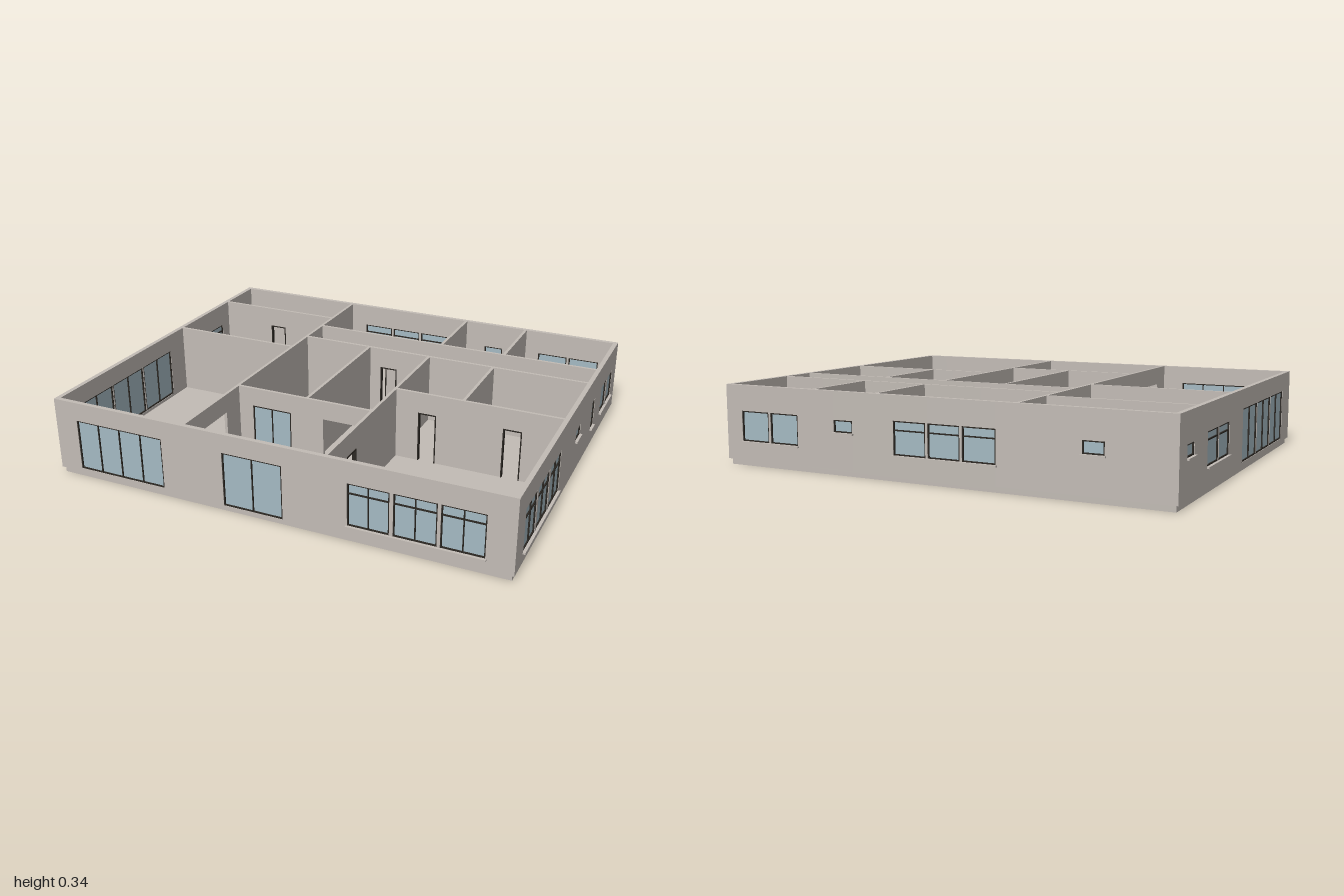
import * as THREE from 'three';

const BASE = 0.025, TOP = 0.34;

export function createModel() {
  const house = new THREE.Group();
  house.name = 'house';
  const material = (name, color, side = THREE.FrontSide) => {
    const m = new THREE.MeshStandardMaterial({ color, side });
    m.name = name;
    return m;
  };
  const plaster = material('plaster', 0xc3bcb6);
  const glass = material('glass', 0xa5bac3);
  const dark = material('dark frame', 0x2c2823);
  const ceramic = material('ceramic', 0xc6c1bc, THREE.DoubleSide);

  const add = (name, geometry, mat, parent = house) => {
    const mesh = new THREE.Mesh(geometry, mat);
    mesh.name = name;
    parent.add(mesh);
    return mesh;
  };
  // Box running from u0 to u1 along an axis, centred at c across it, t thick
  const slab = (name, mat, axis, u0, u1, y0, y1, c, t, parent) => {
    const len = u1 - u0, u = (u0 + u1) / 2, y = (y0 + y1) / 2;
    const alongX = axis === 'x';
    const mesh = add(name, new THREE.BoxGeometry(alongX ? len : t, y1 - y0, alongX ? t : len), mat, parent);
    mesh.position.set(alongX ? u : c, y, alongX ? c : u);
    return mesh;
  };
  const group = (name) => {
    const g = new THREE.Group();
    g.name = name;
    house.add(g);
    return g;
  };

  // Wall split into piers, lintels and breasts around its openings [u0, u1, y0, y1]
  const wall = (name, axis, c, t, a, b, openings = []) => {
    const g = group(name);
    let u = a;
    for (const [u0, u1, y0, y1] of [...openings].sort((p, q) => p[0] - q[0])) {
      if (u0 > u) slab('pier', plaster, axis, u, u0, BASE, TOP, c, t, g);
      slab('lintel', plaster, axis, u0, u1, y1, TOP, c, t, g);
      if (y0 > BASE + 0.001) slab('breast', plaster, axis, u0, u1, BASE, y0, c, t, g);
      u = u1;
    }
    slab('pier', plaster, axis, u, b, BASE, TOP, c, t, g);
  };

  // Glazed unit: pane, outer frame, mullions and an optional transom
  const glazing = (axis, c, [u0, u1, y0, y1, panes = 1, transom = 0], depth = 0.016) => {
    const g = group('window');
    const f = 0.005;
    slab('pane', glass, axis, u0, u1, y0, y1, c, 0.004, g);
    for (let i = 0; i <= panes; i++) {
      const w = i === 0 || i === panes ? f : f * 0.8;
      const u = u0 + w / 2 + (u1 - u0 - w) * i / panes;
      slab('mullion', dark, axis, u - w / 2, u + w / 2, y0, y1, c, depth, g);
    }
    for (const y of [y0, y1 - f, ...(transom ? [transom] : [])])
      slab('rail', dark, axis, u0, u1, y, y + f, c, depth * 0.96, g);
  };
  const outerWall = (name, axis, c, a, b, windows, sills) => {
    const s = Math.sign(c), mid = c - s * 0.01;
    wall(name, axis, mid, 0.02, a, b, windows);
    windows.forEach(w => glazing(axis, mid, w));
    sills.forEach(([u0, u1, y]) =>
      slab('sill', plaster, axis, u0 - 0.005, u1 + 0.005, y - 0.007, y, c + s * 0.002, 0.016));
  };

  // Floor with the courtyard opening
  const rect = (x0, x1, z0, z1, P) => new P([[x0, z0], [x1, z0], [x1, z1], [x0, z1]]
    .map(([x, z]) => new THREE.Vector2(x, -z)));
  const floor = rect(-0.98, 0.98, -0.797, 0.793, THREE.Shape);
  floor.holes.push(rect(-0.366, -0.052, -0.271, 0.255, THREE.Path));
  const floorGeometry = new THREE.ExtrudeGeometry(floor, { depth: BASE + 0.002, bevelEnabled: false });
  floorGeometry.rotateX(-Math.PI / 2);
  add('floor', floorGeometry, plaster);
  slab('courtyardStep', plaster, 'x', -0.208, -0.052, 0, 0.014, 0.233, 0.045);

  // Outer walls
  const F = 0.803, B = -0.807, W = 0.99;
  outerWall('frontWall', 'x', F, -W, W, [
    [-0.885, -0.473, 0.04, 0.26, 4], [-0.195, 0.067, 0.027, 0.26, 2],
    [0.34, 0.51, 0.07, 0.25, 2, 0.205], [0.525, 0.696, 0.07, 0.25, 2, 0.205], [0.709, 0.88, 0.07, 0.25, 2, 0.205],
  ], [[0.34, 0.88, 0.07]]);
  outerWall('backWall', 'x', B, -W, W, [
    [-0.72, -0.634, 0.175, 0.225],
    [-0.29, -0.147, 0.105, 0.24, 1, 0.2], [-0.137, 0.003, 0.105, 0.24, 1, 0.2], [0.013, 0.158, 0.105, 0.24, 1, 0.2],
    [0.35, 0.44, 0.175, 0.225], [0.62, 0.76, 0.105, 0.232], [0.77, 0.91, 0.105, 0.232],
  ], [[-0.72, -0.634, 0.175], [-0.29, 0.158, 0.105], [0.35, 0.44, 0.175], [0.62, 0.91, 0.105]]);
  outerWall('leftWall', 'z', W, B + 0.02, F - 0.02, [
    [0.214, 0.367, 0.07, 0.249, 2, 0.2], [0.385, 0.538, 0.07, 0.249, 2, 0.2], [0.555, 0.704, 0.07, 0.249, 2, 0.2],
    [-0.112, -0.035, 0.175, 0.223], [-0.376, -0.323, 0.105, 0.232],
    [-0.603, -0.503, 0.107, 0.232], [-0.726, -0.625, 0.107, 0.232],
  ], [[0.214, 0.704, 0.07], [-0.112, -0.035, 0.175], [-0.376, -0.323, 0.105], [-0.603, -0.503, 0.107], [-0.726, -0.625, 0.107]]);
  outerWall('rightWall', 'z', -W, B + 0.02, F - 0.02, [
    [-0.722, -0.642, 0.175, 0.223], [-0.487, -0.348, 0.105, 0.235, 1, 0.2], [-0.342, -0.203, 0.105, 0.235, 1, 0.2],
    [-0.01, 0.212, 0.04, 0.26, 2], [0.218, 0.44, 0.04, 0.26, 2], [0.446, 0.667, 0.04, 0.26, 2],
  ], [[-0.722, -0.642, 0.175], [-0.487, -0.203, 0.105]]);

  // Inner walls: name, axis, position, start, end, doorways, wide openings
  const t = 0.013, xr = 0.97;
  const inner = [
    ['bathroomWall', 'x', -0.555, -xr, -0.378, [-0.675]],
    ['bedroomWall', 'x', -0.13, -xr, -0.378, []],
    ['corridorBackWall', 'x', -0.438, -0.366, xr, [-0.065, 0.81]],
    ['corridorFrontWall', 'x', -0.277, -0.366, xr, [0.053]],
    ['livingRoomWall', 'x', 0.117, 0.254, xr, [0.395, 0.765]],
    ['hallWall', 'x', 0.363, -0.366, 0.242, [], [[-0.3, -0.12], [0.03, 0.17]]],
    ['longWall', 'z', -0.372, -0.787, 0.783, [-0.36], [[0.475, 0.68]]],
    ['backRoomWall', 'z', 0.248, -0.787, -0.444, [-0.62]],
    ['sideRoomWall', 'z', 0.248, -0.271, 0.783, [0.575]],
    ['storeWall', 'z', 0.55, -0.787, -0.444, []],
    ['washroomWall', 'z', 0.55, -0.271, 0.111, []],
    ['courtyardWall', 'z', -0.046, -0.271, 0.357, []],
  ];
  for (const [name, axis, c, a, b, doors, wide = []] of inner) {
    const doorways = doors.map(u => [u - 0.04, u + 0.04, BASE, 0.25]);
    const gaps = wide.map(([u0, u1]) => [u0, u1, BASE, 0.26]);
    wall(name, axis, c, t, a, b, [...doorways, ...gaps]);
    // Dark door linings
    for (const [u0, u1, , y1] of doorways) {
      const g = group('doorFrame'), f = 0.005, d = t + 0.004;
      slab('jamb', dark, axis, u0, u0 + f, BASE, y1, c, d, g);
      slab('jamb', dark, axis, u1 - f, u1, BASE, y1, c, d, g);
      slab('head', dark, axis, u0, u1, y1 - f, y1, c, d, g);
    }
  }
  glazing('x', 0.363, [-0.3, -0.12, BASE + 0.002, 0.26, 2], 0.012);

  // Bathroom fixtures
  const bowl = (name, x, y, z, rx, h, rz) => {
    const profile = [[0.001, 0], [0.6, 0], [0.85, 0.4], [1, 1], [0.9, 1], [0.75, 0.4], [0.4, 0.15], [0.001, 0.12]];
    const mesh = add(name, new THREE.LatheGeometry(profile.map(p => new THREE.Vector2(...p)), 24), ceramic);
    mesh.scale.set(rx, h, rz);
    mesh.position.set(x, y, z);
  };
  bowl('bathtub', 0.885, BASE, -0.23, 0.08, 0.075, 0.036);
  const sinks = [[-0.406, -0.608, 0.05, 0.075], [0.513, -0.485, 0.05, 0.075], [0.584, -0.01, 0.046, 0.064], [0.584, 0.073, 0.046, 0.064]];
  for (const [x, z, w, d] of sinks) {
    slab('sinkCabinet', ceramic, 'x', x - w / 2, x + w / 2, BASE, 0.105, z, d);
    bowl('basin', x, 0.105, z, 0.019, 0.016, 0.019);
  }
  // Toilets: position and the direction they face
  for (const [x, z, dx, dz] of [[-0.945, -0.765, 0, 1], [0.283, -0.465, 0, -1], [0.94, 0.077, -1, 0]]) {
    const along = dx ? 'z' : 'x', u = dx ? z : x, c = dx ? x : z, s = dx + dz;
    slab('cistern', ceramic, along, u - 0.016, u + 0.016, BASE, 0.1, c - s * 0.012, 0.012);
    slab('toiletSeat', ceramic, along, u - 0.014, u + 0.014, BASE, 0.07, c + s * 0.01, 0.032);
  }
  // Showers
  slab('showerScreen', ceramic, 'z', -0.785, -0.71, BASE, 0.24, -0.468, 0.003);
  slab('showerTray', ceramic, 'x', 0.452, 0.54, BASE, 0.035, -0.487, 0.086);
  const drain = add('showerHead', new THREE.CylinderGeometry(0.012, 0.012, 0.004, 16), ceramic);
  drain.position.set(-0.426, 0.22, -0.768);

  return house;
}
